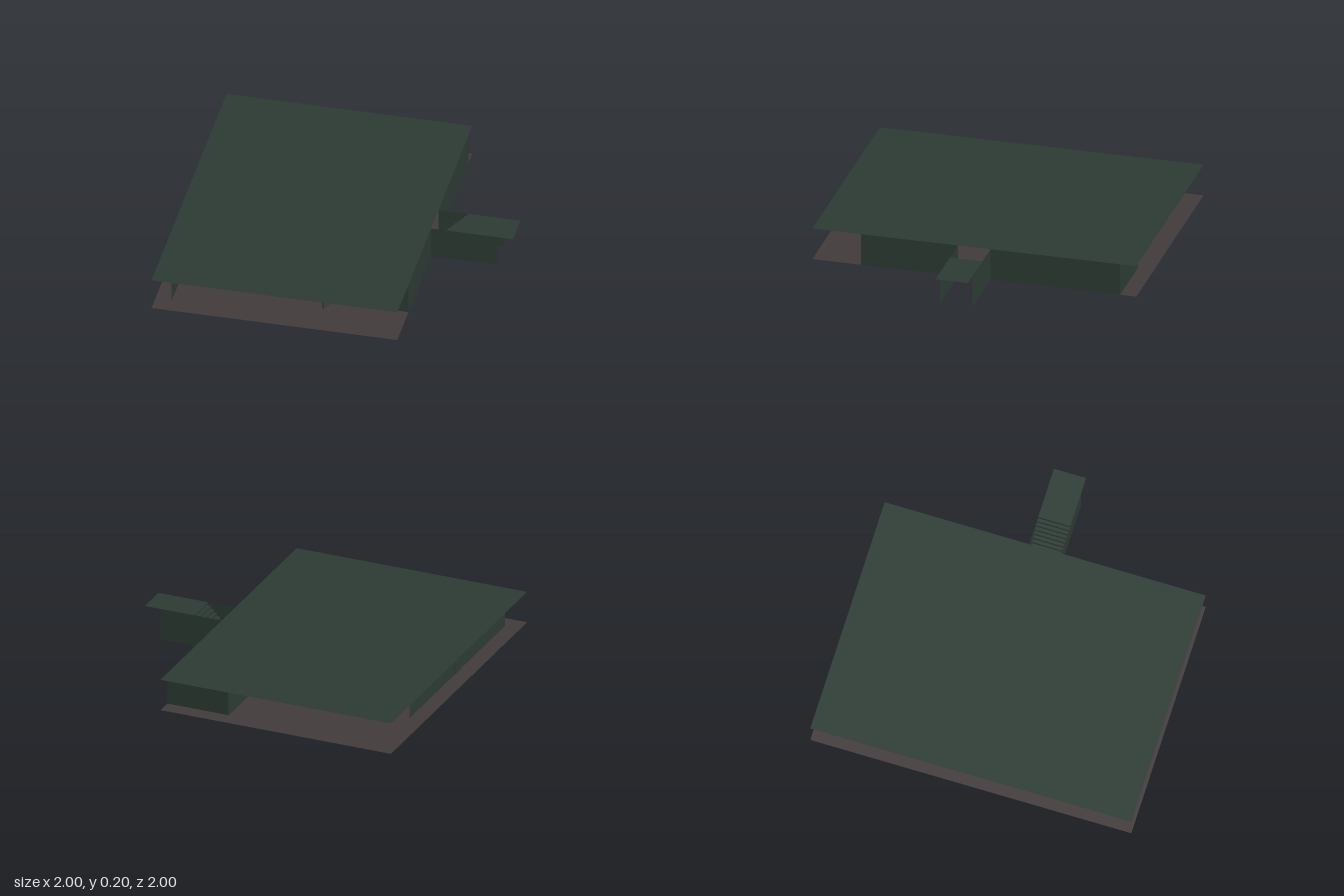
import * as THREE from 'three';

const H = 0.2; // storey height

export function createModel() {
  const model = new THREE.Group();
  const green = new THREE.MeshStandardMaterial({ color: 0x2d3b34, side: THREE.DoubleSide });
  green.name = 'darkGreen';
  const brown = new THREE.MeshStandardMaterial({ color: 0x423b3b, side: THREE.DoubleSide });
  brown.name = 'greyBrown';

  const add = (name, geometry, material, parent = model) => {
    const mesh = new THREE.Mesh(geometry, material);
    mesh.name = name;
    parent.add(mesh);
    return mesh;
  };

  // Horizontal sheet between two corners
  const sheet = (name, x0, x1, z0, z1, y, material, parent) => {
    const g = new THREE.PlaneGeometry(x1 - x0, z1 - z0);
    g.rotateX(-Math.PI / 2).translate((x0 + x1) / 2, y, (z0 + z1) / 2);
    return add(name, g, material, parent);
  };

  // Upright sheet from (x0, z0) to (x1, z1), with an optional doorway [start, end, height]
  const wall = (name, x0, z0, x1, z1, door, parent) => {
    const length = Math.hypot(x1 - x0, z1 - z0);
    const shape = new THREE.Shape();
    shape.moveTo(0, 0);
    if (door) {
      const [a, b, h] = door;
      shape.lineTo(a, 0).lineTo(a, h).lineTo(b, h).lineTo(b, 0);
    }
    shape.lineTo(length, 0).lineTo(length, H).lineTo(0, H);
    const g = new THREE.ShapeGeometry(shape);
    g.rotateY(-Math.atan2(z1 - z0, x1 - x0)).translate(x0, 0, z0);
    return add(name, g, green, parent);
  };

  // Floor and roof
  sheet('floor', -1, 0.5, -1, 1, 0, brown);
  sheet('roof', -1, 0.5, -1, 1, H, green);

  // Walls around the stepped plan
  wall('frontWall', -0.3, 0.7, 0.5, 0.7, [0.25, 0.34, 0.17]);
  wall('leftWallFront', 0.5, 0.7, 0.5, 0.1);
  wall('leftWallBack', 0.5, -0.1, 0.5, -0.9);
  wall('backWall', 0.1, -0.9, 0.5, -0.9);
  wall('backRecessSide', 0.1, -0.9, 0.1, -0.5);
  wall('backRecessWall', -0.7, -0.5, 0.1, -0.5);
  wall('corridorInnerWall', -0.7, -0.5, -0.7, 0.3);
  wall('frontRecessWall', -0.7, 0.3, -0.3, 0.3);
  wall('frontRecessSide', -0.3, 0.3, -0.3, 0.7);
  wall('corridorOuterWall', -0.9, -0.5, -0.9, 0.9, [0.66, 0.75, 0.16]);

  // Door leaf with a handle on each side, hinged at its local origin
  const makeDoor = (name, x, z, angle, height, material) => {
    const door = new THREE.Group();
    door.name = name;
    add('doorLeaf', new THREE.BoxGeometry(0.09, height, 0.008).translate(-0.045, height / 2, 0), material, door);
    for (const s of [-1, 1]) {
      add('doorHandle', new THREE.SphereGeometry(0.004, 10, 8), green, door).position.set(-0.08, 0.075, s * 0.007);
    }
    door.position.set(x, 0, z);
    door.rotation.y = angle;
    model.add(door);
  };
  makeDoor('frontDoor', 0.04, 0.7, Math.PI / 3, 0.165, brown);
  makeDoor('corridorDoor', -0.9, 0.25, -Math.PI / 2, 0.158, green);

  // Stairs climbing outwards to a landing, between two side walls
  const stairs = new THREE.Group();
  stairs.name = 'stairs';
  model.add(stairs);
  const steps = 10, run = 0.2 / steps, rise = H / steps;
  for (let i = 0; i < steps; i++) {
    const x = 0.5 + i * run;
    const riser = new THREE.PlaneGeometry(0.2, rise);
    riser.rotateY(-Math.PI / 2).translate(x, (i + 0.5) * rise, 0);
    add('riser', riser, green, stairs);
    sheet('tread', x, x + run, -0.1, 0.1, (i + 1) * rise, green, stairs);
  }
  sheet('landing', 0.7, 1, -0.1, 0.1, H, green, stairs);
  for (const z of [-0.1, 0.1]) wall('stairSideWall', 0.5, z, 0.9, z, null, stairs);

  return model;
}
